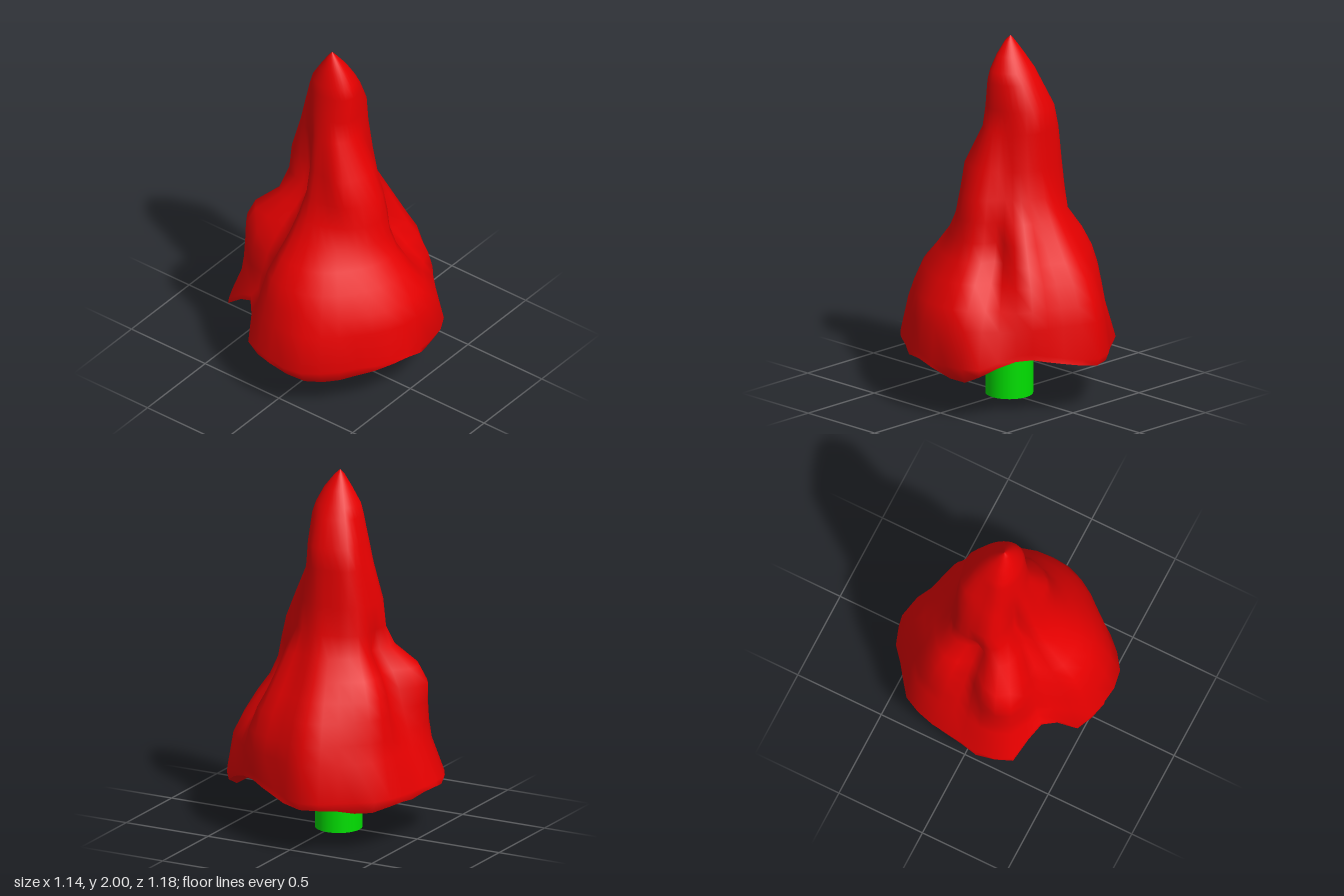
import * as THREE from 'three';

const SIDES = 36; // one side for each 10 degrees, from +x towards +z

// Outline of the skirt: radius and height of the rim at each side
const rimR = [.575, .575, .565, .555, .55, .57, .59, .61, .6, .58, .565, .555, .49, .47, .51, .585, .59, .575, .55,
  .55, .56, .575, .59, .575, .575, .6, .605, .57, .535, .52, .515, .53, .55, .585, .59, .58];
const rimY = [.27, .3, .29, .26, .23, .21, .2, .21, .24, .28, .28, .21, .4, .43, .38, .28, .26, .28, .27,
  .25, .26, .25, .23, .23, .25, .26, .26, .28, .3, .32, .34, .34, .31, .26, .21, .22];

// Body widths at each height: y, -x, +x, -z, +z
const levels = [
  [.3, .57, .57, .59, .595], [.5, .5, .55, .565, .545], [.6, .49, .51, .535, .515], [.72, .48, .44, .49, .47],
  [.82, .47, .37, .43, .39], [.92, .42, .325, .375, .31], [1.03, .315, .305, .32, .245], [1.15, .3, .28, .27, .2],
  [1.3, .285, .22, .245, .165], [1.5, .225, .13, .235, .13], [1.62, .197, .12, .23, .113], [1.76, .165, .117, .163, .095],
  [1.82, .148, .1, .13, .085], [1.9, .1, .058, .08, .058], [1.97, .055, .003, .026, .028], [2, .031, -.029, .001, .001],
];

// Folds and swellings: angle, angular width, height, vertical reach, depth
const folds = [
  [122, 11, .82, .3, -.1], [134, 22, 1.2, .14, -.09], [138, 22, 1.42, .16, -.03], [188, 13, .85, .25, -.11],
  [327, 13, .8, .24, -.125], [315, 20, 1.18, .16, -.055], [155, 15, .9, .15, .06],
  [306, 15, .75, .3, .03], [282, 9, .9, .35, -.025], [260, 14, .7, .3, .02],
  [45, 20, 1.27, .13, .045], [226, 22, 1.55, .2, .045], [226, 20, 1.2, .18, .025],
];

function bodyRow([y, xl, xr, zb, zf], bottom) {
  const row = [];
  for (let i = 0; i < SIDES; i++) {
    const a = i * Math.PI * 2 / SIDES, c = Math.cos(a), s = Math.sin(a);
    const cx = -.015 * y;
    const ellipse = (rx, rz) => 1 / Math.hypot(c / rx, s / rz);
    let r = ellipse(c < 0 ? xl + cx : xr - cx, s < 0 ? zb : zf);
    const w = THREE.MathUtils.clamp((1.15 - y) / .85, 0, 1);
    r *= 1 + w * (rimR[i] / ellipse(.575, .595) - 1);
    for (const [fa, fw, fy, fh, depth] of folds) {
      const da = ((i * 10 - fa + 540) % 360) - 180;
      r += depth * Math.exp(-((da / fw) ** 2) - ((y - fy) / fh) ** 2);
    }
    const py = bottom ? Math.max(y, rimY[i] + .03) : y;
    row.push([cx + r * c, py, r * s]);
  }
  return row;
}

// Ring following the rim, scaled inwards and lifted
function rimRow(scale, lift) {
  return rimR.map((radius, i) => {
    const a = i * Math.PI * 2 / SIDES;
    const r = radius * scale * (1 - Math.max(0, .28 - rimY[i]) * 1.4);
    return [r * Math.cos(a), lift(rimY[i], i), r * Math.sin(a)];
  });
}

// Joins closed rings of points into one smooth skin
function skin(rows) {
  const index = [];
  for (let j = 0; j < rows.length - 1; j++) {
    for (let i = 0; i < SIDES; i++) {
      const n = (i + 1) % SIDES;
      const a = j * SIDES + i, b = j * SIDES + n, c = a + SIDES, d = b + SIDES;
      index.push(a, c, d, a, d, b);
    }
  }
  const g = new THREE.BufferGeometry();
  g.setAttribute('position', new THREE.Float32BufferAttribute(rows.flat(2), 3));
  g.setIndex(index);
  g.computeVertexNormals();
  return g;
}

export function createModel() {
  const leafRed = new THREE.MeshStandardMaterial({ color: 0xe60000 });
  leafRed.name = 'leafRed';
  const trunkGreen = new THREE.MeshStandardMaterial({ color: 0x00e000 });
  trunkGreen.name = 'trunkGreen';

  const group = new THREE.Group();
  group.name = 'tree';
  const add = (name, geometry, material) => {
    const mesh = new THREE.Mesh(geometry, material);
    mesh.name = name;
    group.add(mesh);
    return mesh;
  };

  // Draped crown
  const rim = rimRow(1, y => y);
  add('crown', skin([rim, ...levels.map((l, j) => bodyRow(l, j === 0))]), leafRed);

  // Uneven hollow underneath
  const hollow = [
    rimRow(.001, () => .31),
    rimRow(.4, (y, i) => .33 + .02 * Math.sin(i * .9)),
    rimRow(.8, (y, i) => y + .07 + .02 * Math.sin(i * 1.4)),
    rim,
  ];
  add('crownUnderside', skin(hollow), leafRed);

  // Trunk
  const trunk = add('trunk', new THREE.CylinderGeometry(.128, .128, .3, 32), trunkGreen);
  trunk.position.set(-.021, .15, 0);

  return group;
}
